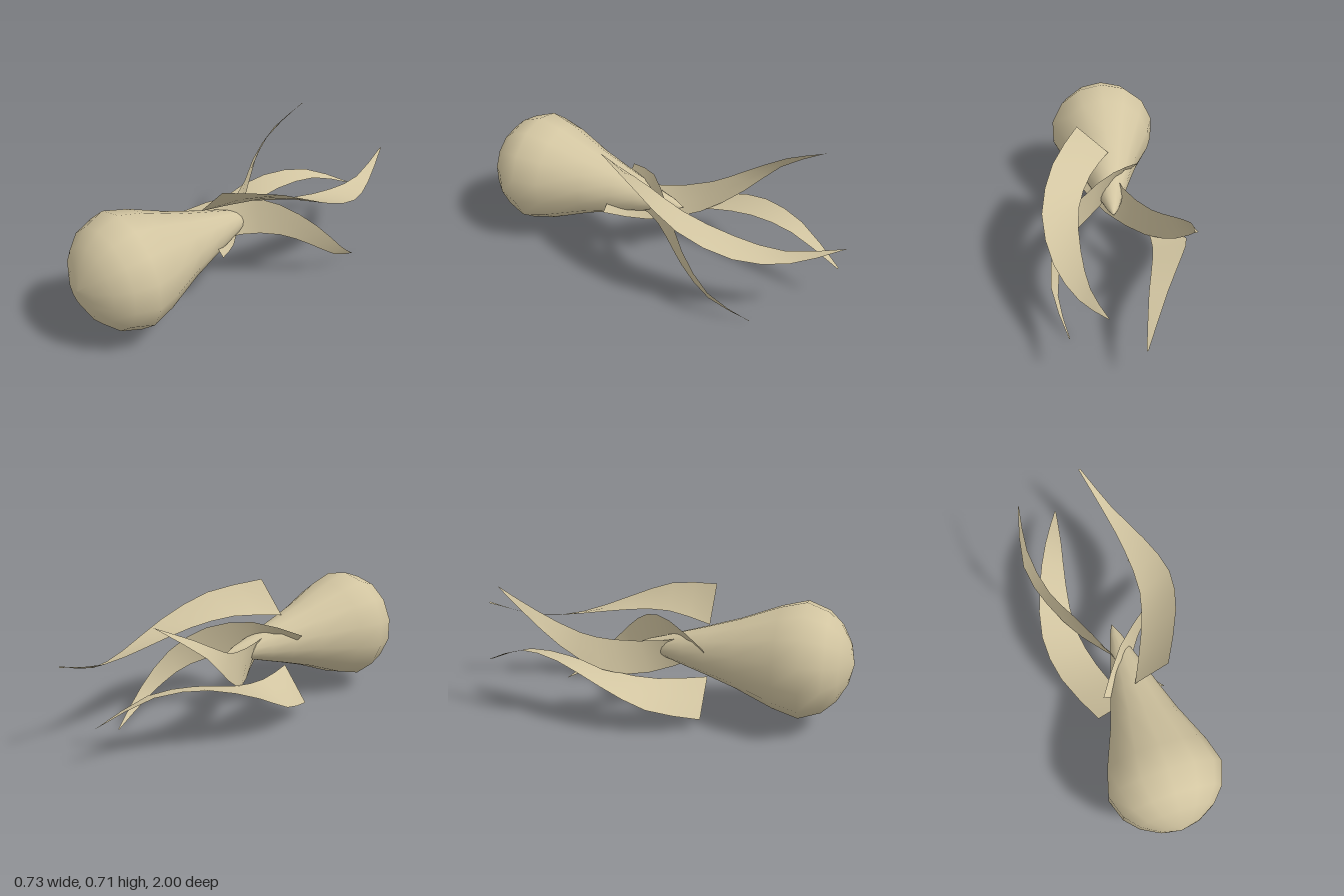
import * as THREE from 'three';

const tan = new THREE.MeshStandardMaterial({ color: 0xd2c5a1, side: THREE.DoubleSide });
tan.name = 'tan';

// Smooth ribbon stretched between two edge curves
function ribbon(name, outer, inner, steps = 10) {
  const curve = pts => new THREE.CatmullRomCurve3(pts.map(p => new THREE.Vector3(...p)));
  const a = curve(outer), b = curve(inner);
  const pos = [], index = [], across = 2;
  for (let i = 0; i <= steps; i++) {
    const p = a.getPoint(i / steps), q = b.getPoint(i / steps);
    for (let j = 0; j <= across; j++) pos.push(...p.clone().lerp(q, j / across).toArray());
  }
  const row = across + 1;
  for (let i = 0; i < steps; i++) {
    for (let j = 0; j < across; j++) {
      const k = i * row + j;
      index.push(k, k + 1, k + row, k + 1, k + row + 1, k + row);
    }
  }
  const g = new THREE.BufferGeometry();
  g.setAttribute('position', new THREE.Float32BufferAttribute(pos, 3));
  g.setIndex(index);
  g.computeVertexNormals();
  const mesh = new THREE.Mesh(g, tan);
  mesh.name = name;
  return mesh;
}

export function createModel() {
  const model = new THREE.Group();
  model.name = 'teardropWithTails';

  // Teardrop body: blunt nose forward, tapering to a point at the back
  const profile = [
    [0, -0.12], [0.032, -0.05], [0.058, 0.04], [0.09, 0.14], [0.127, 0.26], [0.18, 0.42],
    [0.262, 0.62], [0.298, 0.75], [0.258, 0.86], [0.192, 0.93], [0.1, 0.98], [0, 1],
  ].map(([r, z]) => new THREE.Vector2(r, z));
  const bodyGeo = new THREE.LatheGeometry(profile, 14);
  bodyGeo.rotateX(Math.PI / 2);
  const body = new THREE.Mesh(bodyGeo, tan);
  body.name = 'body';
  body.position.y = 0.367;
  model.add(body);

  // Four tails spiralling around the body's axis
  model.add(ribbon('upperTail',
    [[0.165, 0.672, 0.27], [0.3, 0.617, 0], [0.363, 0.5, -0.26], [0.315, 0.4, -0.53], [0.21, 0.39, -0.77], [0.1, 0.485, -1]],
    [[0, 0.505, 0.27], [0.11, 0.52, 0.03], [0.18, 0.485, -0.2], [0.185, 0.435, -0.48], [0.155, 0.415, -0.73], [0.09, 0.48, -1]]));

  model.add(ribbon('lowerTail',
    [[-0.2, 0.063, 0.27], [-0.33, 0.145, 0.02], [-0.365, 0.262, -0.2], [-0.3, 0.348, -0.45], [-0.2, 0.342, -0.69], [-0.085, 0.22, -0.935]],
    [[-0.035, 0.232, 0.27], [-0.13, 0.235, 0.03], [-0.18, 0.27, -0.19], [-0.16, 0.322, -0.43], [-0.115, 0.322, -0.67], [-0.077, 0.215, -0.935]]));

  model.add(ribbon('risingTail',
    [[0.165, 0.31, 0.27], [0.03, 0.245, 0.08], [-0.16, 0.25, -0.14], [-0.29, 0.365, -0.33], [-0.355, 0.53, -0.5], [-0.297, 0.712, -0.745]],
    [[0, 0.455, 0.27], [-0.06, 0.42, 0.05], [-0.18, 0.445, -0.19], [-0.265, 0.5, -0.33], [-0.315, 0.615, -0.54], [-0.292, 0.712, -0.745]]));

  model.add(ribbon('fallingTail',
    [[-0.165, 0.43, 0.27], [-0.01, 0.51, 0.06], [0.17, 0.47, -0.11], [0.3, 0.34, -0.26], [0.335, 0.165, -0.42], [0.259, 0.005, -0.615]],
    [[0, 0.285, 0.27], [0.055, 0.31, 0.06], [0.18, 0.295, -0.11], [0.265, 0.225, -0.24], [0.302, 0.105, -0.41], [0.253, 0.003, -0.615]]));

  return model;
}
